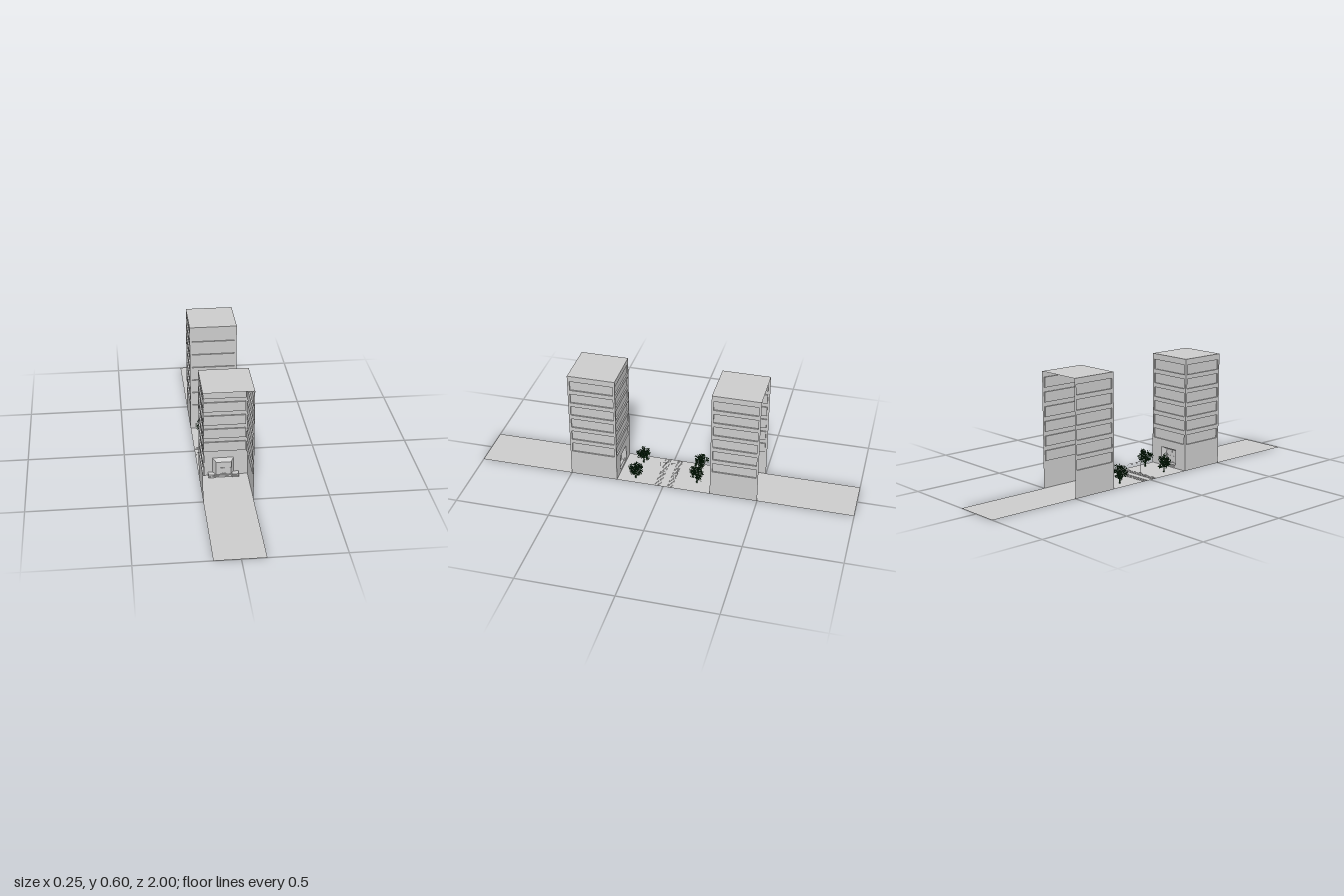
import * as THREE from 'three';

const W = 0.249, D = 0.25, H = 0.6, CX = -0.0045;
const grey = new THREE.MeshStandardMaterial({ color: 0xcccccc, side: THREE.DoubleSide, flatShading: true });
const green = new THREE.MeshStandardMaterial({ color: 0x0b3310, side: THREE.DoubleSide });

function add(parent, name, geometry, x = 0, y = 0, z = 0, material = grey) {
  const m = new THREE.Mesh(geometry, material);
  m.name = name;
  m.position.set(x, y, z);
  parent.add(m);
  return m;
}
const box = (w, h, d) => new THREE.BoxGeometry(w, h, d);
const rect = (x0, y0, x1, y1) => [[x0, y0], [x1, y0], [x1, y1], [x0, y1]].map(p => new THREE.Vector2(...p));

// Four sides joining a rectangle at z = 0 to another set back behind it
function reveal(outer, inner, depth) {
  const pos = [];
  for (let i = 0; i < 4; i++) {
    const j = (i + 1) % 4;
    const a = [outer[i].x, outer[i].y, 0], b = [outer[j].x, outer[j].y, 0];
    const c = [inner[j].x, inner[j].y, -depth], d = [inner[i].x, inner[i].y, -depth];
    pos.push(...a, ...b, ...c, ...a, ...c, ...d);
  }
  const g = new THREE.BufferGeometry();
  g.setAttribute('position', new THREE.Float32BufferAttribute(pos, 3));
  g.computeVertexNormals();
  return g;
}

// Wall facing +z with six recessed window bands and, if wanted, an entrance
function buildWall(width, hasDoor) {
  const wall = new THREE.Group();
  const shape = new THREE.Shape(rect(-width / 2, 0, width / 2, H));
  const recess = (name, outer, inner, depth) => {
    shape.holes.push(new THREE.Path(outer));
    add(wall, name + 'Reveal', reveal(outer, inner, depth));
    add(wall, name + 'Panel', new THREE.ShapeGeometry(new THREE.Shape(inner)), 0, 0, -depth);
  };
  for (let i = 0; i < 6; i++) {
    const y = 0.142 + i * 0.075, hw = width / 2 - 0.011;
    const band = rect(-hw, y, hw, y + 0.052);
    recess('window', band, band, 0.007);
  }
  if (hasDoor) {
    recess('entrance', rect(-0.054, 0.004, 0.054, 0.1), rect(-0.038, 0.018, 0.038, 0.088), 0.025);
    // Door frame bars around two by two panes
    for (const x of [-0.0365, 0, 0.0365]) add(wall, 'doorStile', box(0.004, 0.07, 0.004), x, 0.053, -0.025);
    for (const y of [0.02, 0.053, 0.0865]) add(wall, 'doorRail', box(0.076, 0.004, 0.004), 0, y, -0.025);
    // Low steps beside and below the door
    for (const s of [-1, 1]) {
      add(wall, 'stepBlock', box(0.034, 0.007, 0.03), s * 0.0605, 0.0145, -0.016);
      add(wall, 'stepBase', box(0.037, 0.007, 0.034), s * 0.059, 0.0075, -0.018);
    }
    add(wall, 'lowerStep', box(0.09, 0.005, 0.03), 0, 0.0065, -0.016);
    add(wall, 'upperStep', box(0.08, 0.005, 0.02), 0, 0.0115, -0.02);
  }
  add(wall, hasDoor ? 'facade' : 'sideWall', new THREE.ShapeGeometry(shape));
  return wall;
}

// Tower with its facade at z = 0 facing +z; the rear is open
function buildTower() {
  const tower = new THREE.Group();
  tower.name = 'tower';
  tower.add(buildWall(W, true));
  for (const s of [-1, 1]) {
    const side = buildWall(D, false);
    side.rotation.y = s * Math.PI / 2;
    side.position.set(s * W / 2, 0, -D / 2);
    tower.add(side);
  }
  add(tower, 'roof', new THREE.PlaneGeometry(W, D).rotateX(-Math.PI / 2), 0, H, -D / 2);
  return tower;
}

// Crown of small scattered leaves grown in clumps
function buildTree(seed) {
  let s = seed;
  const rnd = () => (s = (s * 16807) % 2147483647) / 2147483647;
  const dir = () => {
    const u = rnd() * 2 - 1, a = rnd() * Math.PI * 2, r = Math.sqrt(1 - u * u);
    return new THREE.Vector3(r * Math.cos(a), u, r * Math.sin(a));
  };
  const tree = new THREE.Group();
  tree.name = 'tree';
  add(tree, 'trunk', new THREE.CylinderGeometry(0.002, 0.004, 0.055, 6), 0, 0.0275, 0, green);
  const pos = [];
  for (let c = 0; c < 45; c++) {
    const branch = dir().multiplyScalar(0.036 * Math.cbrt(rnd()));
    const tip = branch.clone().add(new THREE.Vector3(0, 0.06, 0));
    const path = new THREE.LineCurve3(new THREE.Vector3(0, 0.04, 0), tip);
    add(tree, 'branch', new THREE.TubeGeometry(path, 1, 0.0005, 3), 0, 0, 0, green);
    for (let i = 0; i < 24; i++) {
      const p = tip.clone().addScaledVector(dir(), 0.011 * Math.sqrt(rnd()));
      const along = dir().multiplyScalar(0.0045);
      const across = dir().cross(along).multiplyScalar(0.5);
      const ends = [p.clone().sub(along), p.clone().add(across), p.clone().add(along), p.clone().sub(across)];
      for (const k of [0, 1, 2, 0, 2, 3]) pos.push(ends[k].x, ends[k].y, ends[k].z);
    }
  }
  const leaves = new THREE.BufferGeometry();
  leaves.setAttribute('position', new THREE.Float32BufferAttribute(pos, 3));
  leaves.computeVertexNormals();
  add(tree, 'leaves', leaves, 0, 0, 0, green);
  return tree;
}

// Street lamp whose arm reaches toward +z
function buildLamp() {
  const lamp = new THREE.Group();
  lamp.name = 'streetLamp';
  const path = new THREE.CatmullRomCurve3([[0, 0], [0.03, 0], [0.06, 0], [0.065, 0.005], [0.065, 0.03]]
    .map(([y, z]) => new THREE.Vector3(0, y, z)), false, 'centripetal');
  add(lamp, 'lampPost', new THREE.TubeGeometry(path, 24, 0.0009, 6));
  add(lamp, 'lampBase', box(0.01, 0.003, 0.004), 0, 0.0015, 0);
  add(lamp, 'lampHead', box(0.01, 0.004, 0.006), 0, 0.063, 0.03);
  return lamp;
}

export function createModel() {
  const model = new THREE.Group();
  const site = new THREE.Group();
  site.name = 'site';
  site.position.x = CX;
  model.add(site);

  add(site, 'ground', new THREE.PlaneGeometry(W, 2).rotateX(-Math.PI / 2));

  // Facing towers, lamps, kerbs and paving on both sides of the road
  for (const turn of [0, Math.PI]) {
    const half = new THREE.Group();
    half.name = 'streetSide';
    half.rotation.y = turn;
    site.add(half);
    const tower = buildTower();
    tower.position.z = -D;
    half.add(tower);
    const lamp = buildLamp();
    lamp.position.z = -0.046;
    half.add(lamp);
    add(half, 'kerb', box(W, 0.002, 0.004), 0, 0.001, -0.02);
    for (let row = 0; row < 3; row++)
      for (let i = 0; i < 24; i++)
        add(half, 'paver', box(0.008, 0.001, 0.006), (i - 11.5) * 0.0102, 0.0005, -0.028 - row * 0.008);
  }

  // Trees
  [[-0.07, -0.16], [0.042, -0.164], [-0.068, 0.155], [0.08, 0.158]].forEach(([x, z], i) => {
    const tree = buildTree(101 + i * 977);
    tree.position.set(x, 0, z);
    model.add(tree);
  });
  return model;
}
